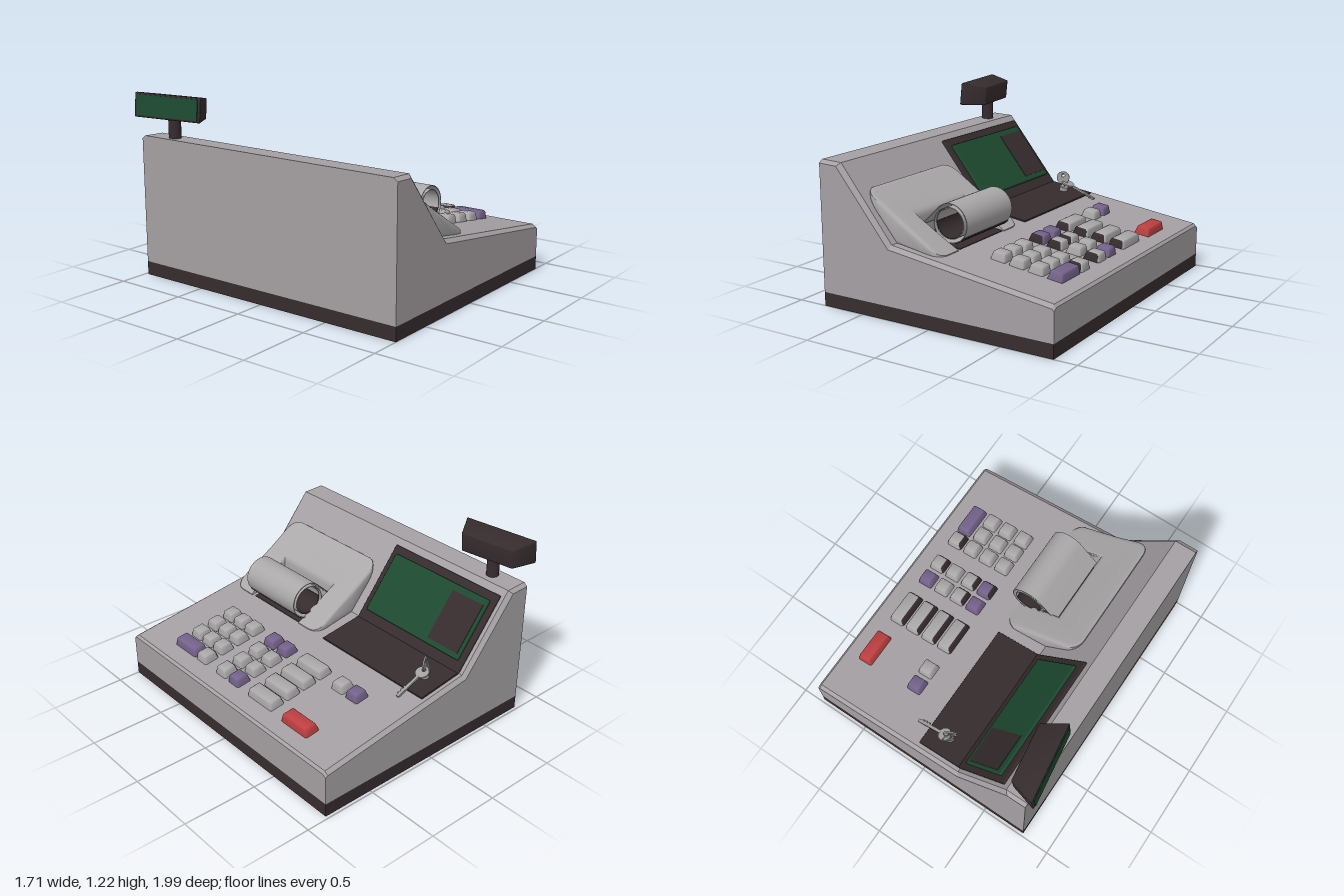
import * as THREE from 'three';
import { toCreasedNormals } from 'three/addons/utils/BufferGeometryUtils.js';
import { RoundedBoxGeometry } from 'three/addons/geometries/RoundedBoxGeometry.js';

const mat = (name, color, side = THREE.FrontSide) => {
  const m = new THREE.MeshStandardMaterial({ color, side });
  m.name = name;
  return m;
};

export function createModel() {
  const casing = mat('warm grey casing', 0xa5a0a3, THREE.DoubleSide);
  const light = mat('light grey plastic', 0xaba8aa, THREE.DoubleSide);
  const dark = mat('dark brown trim', 0x362c2e, THREE.DoubleSide);
  const green = mat('green screen', 0x1d4a30);
  const purple = mat('purple key', 0x74628a);
  const red = mat('red key', 0xbe3f40);
  const metal = mat('key metal', 0xa2a0a1);

  const model = new THREE.Group();
  model.name = 'cashRegister';
  const add = (name, geo, m, parent = model) => {
    const mesh = new THREE.Mesh(geo, m);
    mesh.name = name;
    parent.add(mesh);
    return mesh;
  };

  // Height of the casing top over x: steep display slope, then shallow key slope
  const surf = x => (x < -0.28 ? 0.47 - 1.243 * (x + 0.28) : 0.47 - 0.1416 * (x + 0.28));

  // Frames whose local x runs down a slope and local y points out of it
  const slope = (name, x0, y0, x1, y1) => {
    const g = new THREE.Group();
    g.name = name;
    g.position.set(x0, y0, 0);
    g.rotation.z = Math.atan2(y1 - y0, x1 - x0);
    model.add(g);
    return g;
  };
  const upper = slope('displaySlope', -0.65, 0.93, -0.28, 0.47);
  const lower = slope('keySlope', -0.28, 0.47, 0.85, 0.31);
  const slab = (name, parent, m, s0, s1, z0, z1, h0, h1, r = 0) => {
    const size = [s1 - s0, h1 - h0, z1 - z0];
    const geo = r ? new RoundedBoxGeometry(...size, 2, r) : new THREE.BoxGeometry(...size);
    const mesh = add(name, geo, m, parent);
    mesh.position.set((s0 + s1) / 2, (h0 + h1) / 2, (z0 + z1) / 2);
    return mesh;
  };

  // Base: dark band around a grey inner lip, open in the middle
  const frame = (name, m, o, w, y, h) => {
    const x0 = -0.8 + o, x1 = 0.85 - o, z0 = -0.98 + o, z1 = 1 - o;
    const P = new THREE.Shape([[x0, -z1], [x1, -z1], [x1, -z0], [x0, -z0]].map(p => new THREE.Vector2(...p)));
    P.holes.push(new THREE.Path([[x0 + w, -z1 + w], [x0 + w, -z0 - w], [x1 - w, -z0 - w], [x1 - w, -z1 + w]]
      .map(p => new THREE.Vector2(...p))));
    const geo = new THREE.ExtrudeGeometry(P, { depth: h, bevelEnabled: false });
    add(name, geo.rotateX(-Math.PI / 2), m).position.y = y;
  };
  frame('baseBand', dark, 0, 0.01, 0, 0.09);
  frame('baseLip', casing, 0.01, 0.035, 0.001, 0.09);

  // Hollow casing: full profile along the middle, lowered at the ends as a chamfer
  const full = [[-0.8, 0.09], [-0.8, 0.935], [-0.65, 0.93], [-0.28, 0.47], [0.835, 0.312], [0.85, 0.295], [0.85, 0.09]];
  const edge = [[-0.8, 0.09], [-0.8, 0.915], [-0.67, 0.91], [-0.29, 0.447], [0.835, 0.292], [0.85, 0.28], [0.85, 0.09]];
  const sections = [[edge, -0.98], [full, -0.955], [full, 0.972], [edge, 1]];
  const verts = [];
  for (let k = 0; k < 3; k++) {
    const [p, z0] = sections[k], [q, z1] = sections[k + 1];
    for (let i = 0; i < full.length - 1; i++) {
      const a = [...p[i], z0], b = [...p[i + 1], z0], c = [...q[i + 1], z1], d = [...q[i], z1];
      verts.push(...a, ...d, ...c, ...a, ...c, ...b);
    }
  }
  const shell = new THREE.BufferGeometry();
  shell.setAttribute('position', new THREE.Float32BufferAttribute(verts, 3));
  shell.computeVertexNormals();
  add('casingTop', shell, casing);
  const sideShape = new THREE.Shape(edge.map(p => new THREE.Vector2(...p)));
  add('leftSide', new THREE.ShapeGeometry(sideShape), casing).position.z = 1;
  const farSide = add('rightSide', new THREE.ShapeGeometry(sideShape).scale(-1, 1, 1), casing);
  farSide.rotation.y = Math.PI;
  farSide.position.z = -0.98;
  // mirrored outline needs its corner order turned round
  farSide.geometry.setIndex([...farSide.geometry.index.array].reverse());

  // Operator display
  slab('displayPanel', upper, dark, 0.05, 0.6, -0.93, -0.02, -0.03, 0.016, 0.006);
  slab('lowerPanel', lower, dark, -0.01, 0.325, -0.93, -0.02, -0.03, 0.01, 0.004);
  slab('screen', upper, green, 0.105, 0.525, -0.89, -0.065, 0.005, 0.034, 0.01);
  slab('screenPatch', upper, dark, 0.15, 0.49, -0.87, -0.615, 0.032, 0.037);

  // Printer cover: plan outline with a paper bay, stretched between casing and a sloping lid
  const b = 0.03, x0 = -0.51 + b, x1 = 0.04 - b, z0 = 0.05 + b, z1 = 0.93 - b, r = 0.06;
  const plan = new THREE.Shape();
  plan.moveTo(x0 + r, z0);
  for (const x of [-0.28, -0.1]) plan.lineTo(x, z0);
  plan.lineTo(x1 - r, z0);
  plan.quadraticCurveTo(x1, z0, x1, z0 + r);
  plan.lineTo(x1, 0.235 - b);
  plan.lineTo(-0.26 - b, 0.235 - b);
  plan.lineTo(-0.26 - b, 0.74 + b);
  plan.lineTo(x1, 0.74 + b);
  plan.lineTo(x1, z1 - r);
  plan.quadraticCurveTo(x1, z1, x1 - r, z1);
  for (const x of [-0.1, -0.28]) plan.lineTo(x, z1);
  plan.lineTo(x0 + r, z1);
  plan.quadraticCurveTo(x0, z1, x0, z1 - r);
  plan.lineTo(x0, z0 + r);
  plan.quadraticCurveTo(x0, z0, x0 + r, z0);
  const cover = new THREE.ExtrudeGeometry(plan, {
    depth: 0.6, bevelThickness: 0.2, bevelSize: b, bevelSegments: 4, curveSegments: 6,
  }).rotateX(Math.PI / 2);
  const cp = cover.attributes.position;
  for (let i = 0; i < cp.count; i++) {
    const x = cp.getX(i), t = cp.getY(i) + 0.8;
    const lid = 0.778 - 0.63 * (x + 0.51), floor = surf(x) - 0.01;
    cp.setY(i, floor + (Math.max(lid, floor + 0.02) - floor) * Math.min(1, Math.max(0, t)));
  }
  cover.computeVertexNormals();
  add('printerCover', toCreasedNormals(cover, 0.6), light);
  slab('printerTrayBack', upper, dark, 0.21, 0.59, 0.05, 0.93, -0.045, -0.004);
  slab('printerTrayFront', lower, dark, 0, 0.32, 0.05, 0.93, -0.045, -0.004);
  slab('paperBayFloor', lower, dark, 0.02, 0.315, 0.24, 0.715, 0, 0.005);

  // Curled paper: a thin ribbon spiralling inwards, dark along the underside and inside
  const ribbon = (name, m, a0, a1, r0, r1, n, lead = []) => {
    const ring = d => Array.from({ length: n + 1 }, (_, k) => {
      const a = a0 + (a1 - a0) * k / n, rad = r0 + (r1 - r0) * k / n - d;
      return new THREE.Vector2(-0.033 + rad * Math.cos(a), 0.58 + rad * Math.sin(a));
    });
    const outline = [...lead, ...ring(0), ...ring(0.004).reverse()];
    const geo = new THREE.ExtrudeGeometry(new THREE.Shape(outline), { depth: 0.5, bevelEnabled: false });
    add(name, toCreasedNormals(geo, 0.6), m).position.z = 0.22;
  };
  const lead = [new THREE.Vector2(-0.247, 0.541), new THREE.Vector2(-0.25, 0.545)];
  ribbon('paperOuter', light, 2.3, 2.3 - Math.PI * 1.7, 0.125, 0.122, 40, lead);
  ribbon('paperTurn', light, 2.3 - Math.PI * 1.7, 2.3 - Math.PI * 2.1, 0.122, 0.1, 12);
  ribbon('paperInner', light, 2.3 - Math.PI * 2.1, 2.3 - Math.PI * 4, 0.1, 0.099, 40);
  ribbon('paperUnderside', dark, -0.7, -2.2, 0.128, 0.127, 14);
  ribbon('paperInside', dark, -0.35, -3.2, 0.096, 0.096, 20);

  // Keys: tapered caps on dark sockets, some with a dark skirt showing on two sides
  const cap = (col, za, zb, m, skirt = false) => {
    const s = 0.513 + col * 0.131, w = 0.112, h = 0.068, d = zb - za;
    const box = new RoundedBoxGeometry(w, h, d, 2, 0.014);
    const p = box.attributes.position;
    for (let i = 0; i < p.count; i++) {
      const inset = 0.03 * (p.getY(i) / h + 0.5);
      p.setX(i, p.getX(i) * (1 - inset / w));
      p.setZ(i, p.getZ(i) * (1 - inset / d));
    }
    const geo = toCreasedNormals(box, 0.7), x = s + w / 2, z = (za + zb) / 2;
    add('keyCap', geo, m, lower).position.set(x, 0.02, z);
    if (skirt) add('keySkirt', geo, dark, lower).position.set(x - 0.006, 0.016, z + 0.005);
    slab('keySocket', lower, dark, s + 0.006, s + w - 0.006, za + 0.006, zb - 0.006, -0.03, 0.002);
  };
  cap(0, -0.672, -0.56, purple);
  cap(0, -0.542, -0.43, light);
  cap(3.08, -0.675, -0.432, red);
  for (let c = 0; c < 4; c++) {
    cap(c, -0.332, -0.09, light, true);
    cap(c, 0, 0.112, c === 0 || c === 3 ? purple : light, c === 1);
    cap(c, 0.132, 0.244, c === 0 ? purple : light, c !== 2);
    cap(c, 0.345, 0.457, light, c === 3);
    if (c < 3) for (const z of [0.465, 0.583]) cap(c, z, z + 0.112, light);
  }
  cap(3, 0.465, 0.693, purple);

  // Customer display on a post: box narrowing to the rear, screen towards -x
  const post = add('displayPost', new THREE.CylinderGeometry(0.04, 0.04, 0.2, 24), dark);
  post.position.set(-0.73, 1, -0.755);
  const head = new THREE.Group();
  head.name = 'customerDisplay';
  head.position.set(-0.733, 1.133, -0.745);
  head.rotation.set(0, 0.14, -0.1);
  model.add(head);
  const box = new RoundedBoxGeometry(0.165, 0.16, 0.515, 2, 0.01);
  const bp = box.attributes.position;
  for (let i = 0; i < bp.count; i++) {
    const t = bp.getX(i) / 0.165 + 0.5;
    bp.setY(i, bp.getY(i) * (1 - 0.18 * t));
    bp.setZ(i, bp.getZ(i) * (1 - 0.28 * t));
  }
  add('displayHousing', toCreasedNormals(box, 0.7), dark, head);
  slab('customerScreen', head, green, -0.088, -0.08, -0.235, 0.235, -0.066, 0.066);

  // Lock with a key in it and a spare key on the ring
  const lock = add('lock', new THREE.CylinderGeometry(0.03, 0.03, 0.03, 20), metal, lower);
  lock.position.set(0.17, 0.02, -0.8);
  const makeKey = (name, len) => {
    const g = new THREE.Group();
    g.name = name;
    const bow = new THREE.Shape();
    bow.absarc(0, 0, 0.045, 0, Math.PI * 2);
    const eye = new THREE.Path();
    eye.absarc(-0.018, 0, 0.013, 0, Math.PI * 2, true);
    bow.holes.push(eye);
    add('keyBow', new THREE.ExtrudeGeometry(bow, { depth: 0.01, bevelEnabled: false }), metal, g);
    slab('keyBlade', g, metal, 0.035, 0.035 + len, -0.001, 0.011, -0.01, 0.01);
    for (let i = 0; i < 3; i++) slab('keyTooth', g, metal, len - i * 0.025, len - i * 0.025 + 0.012, 0, 0.01, -0.02, 0);
    model.add(g);
    return g;
  };
  const inLock = makeKey('lockKey', 0.08);
  inLock.position.set(-0.115, 0.55, -0.8);
  inLock.rotation.set(0, 0.5, -Math.PI / 2, 'YXZ');
  const spare = makeKey('spareKey', 0.19);
  spare.position.set(-0.08, 0.502, -0.81);
  spare.rotation.set(-Math.PI / 2, 0.38, 0);
  const loop = add('keyRing', new THREE.TorusGeometry(0.037, 0.005, 8, 28), metal);
  loop.position.set(-0.115, 0.54, -0.82);
  loop.rotation.set(0.3, 1, 0);

  return model;
}
